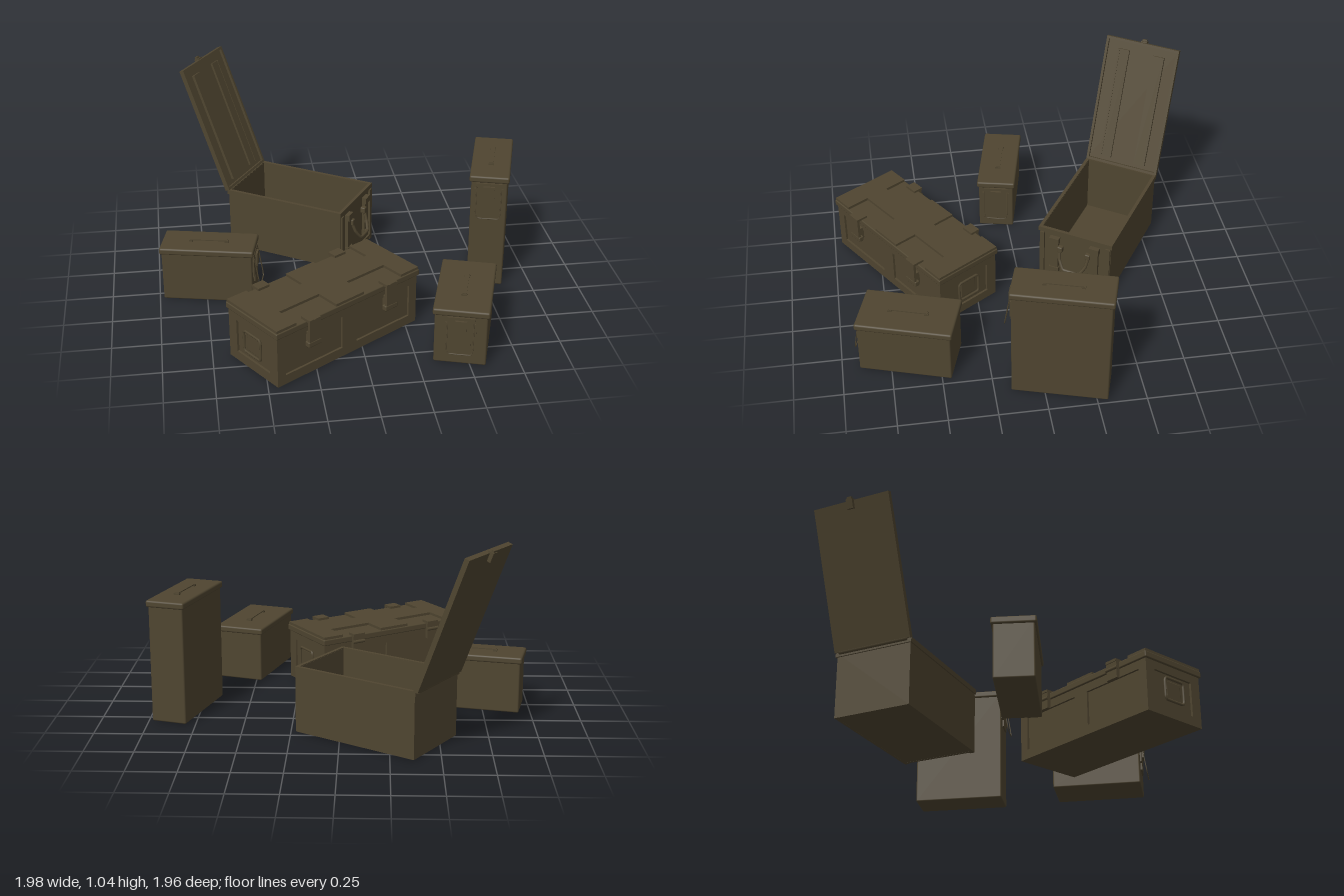
import * as THREE from 'three';
import { RoundedBoxGeometry } from 'three/addons/geometries/RoundedBoxGeometry.js';

const olive = new THREE.MeshStandardMaterial({ color: 0x4f4530, side: THREE.DoubleSide });
olive.name = 'olive paint';

function add(parent, name, geo, x = 0, y = 0, z = 0) {
  const m = new THREE.Mesh(geo, olive);
  m.name = name;
  m.position.set(x, y, z);
  parent.add(m);
  return m;
}
const box = (p, name, w, h, d, x, y, z) => add(p, name, new THREE.BoxGeometry(w, h, d), x, y, z);
const rbox = (p, name, w, h, d, x, y, z, r = 0.01) =>
  add(p, name, new RoundedBoxGeometry(w, h, d, 2, r), x, y, z);
const v2 = ([x, y]) => new THREE.Vector2(x, y);
const rect = (x, y, w, h) => [[x - w / 2, y - h / 2], [x + w / 2, y - h / 2], [x + w / 2, y + h / 2], [x - w / 2, y + h / 2]].map(v2);
const extrude = (pts, holes, depth) => {
  const s = new THREE.Shape(pts);
  holes.forEach(h => s.holes.push(new THREE.Path(h)));
  return new THREE.ExtrudeGeometry(s, { depth, bevelEnabled: false });
};
// Bent rod through corner points
function rod(parent, name, pts, r, closed = false) {
  const v = pts.map(p => new THREE.Vector3(...p));
  const path = new THREE.CatmullRomCurve3(v, closed, 'catmullrom', 0.15);
  return add(parent, name, new THREE.TubeGeometry(path, 40, r, 6, closed));
}
function place(root, name, x, z, angle) {
  const g = new THREE.Group();
  g.name = name;
  g.position.set(x, 0, z);
  g.rotation.y = angle;
  root.add(g);
  return g;
}

// Closed can: latch on its +x end, strap handle on the lid
function can(root, name, L, W, H, x, z, angle) {
  const g = place(root, name, x, z, angle);
  rbox(g, 'canBody', L - 0.02, H - 0.02, W - 0.02, 0, H / 2, 0, 0.008).position.y = (H - 0.02) / 2 + 0.005;
  rbox(g, 'canLid', L, 0.036, W, 0, H - 0.018, 0, 0.01);
  // lid strap
  box(g, 'lidStrap', 0.2, 0.005, 0.024, 0, H + 0.01, 0);
  for (const s of [-1, 1]) box(g, 'strapFoot', 0.02, 0.012, 0.03, s * 0.095, H + 0.003, 0);
  // stepped latch plate
  const half = [[0.068, 0], [0.068, -0.03], [0.076, -0.03], [0.076, -0.125], [0.05, -0.125], [0.05, -0.165]];
  const pts = [...half, ...half.map(([a, b]) => [-a, b]).reverse()].map(v2);
  const plate = add(g, 'latchPlate', extrude(pts, [], 0.01), L / 2 - 0.011, H - 0.04, 0);
  plate.rotation.y = Math.PI / 2;
  box(g, 'latchTongue', 0.012, 0.07, 0.06, L / 2 + 0.004, H - 0.09, 0);
  // wire bail
  const e = L / 2;
  rod(g, 'latchWire', [[e, H - 0.06, -0.065], [e + 0.022, H - 0.2, -0.065], [e + 0.026, H - 0.23, -0.055],
    [e + 0.026, H - 0.23, 0.055], [e + 0.022, H - 0.2, 0.065], [e, H - 0.06, 0.065]], 0.003);
}

// Long chest with recessed panels and strap latches
function chest(root) {
  const g = place(root, 'longChest', -0.176, 0.553, 0.579);
  const L = 0.91, W = 0.38, T = 0.012, H = 0.28;
  box(g, 'chestCore', L - 2 * T, H, W - 2 * T, 0, 0.01 + H / 2, 0);
  const sideHoles = [-0.225, 0.225].map(x => rect(x, 0, 0.36, 0.18));
  for (const s of [-1, 1]) {
    const side = add(g, 'sidePanel', extrude(rect(0, 0, L, H), sideHoles, T), 0, 0.15, s * (W / 2 - T));
    const end = add(g, 'endPanel', extrude(rect(0, 0, W - 2 * T, H), [rect(0, 0, 0.26, 0.18)], T), s * (L / 2 - T), 0.15, 0);
    side.rotation.y = s > 0 ? 0 : Math.PI;
    end.rotation.y = s * Math.PI / 2;
    // end handle
    const hx = s * (L / 2 + 0.004);
    rbox(g, 'handlePlate', 0.016, 0.1, 0.1, s * (L / 2 - 0.009), 0.155, 0, 0.006);
    rod(g, 'endHandle', [[-0.055, 0.1], [0.055, 0.1], [0.065, 0.115], [0.065, 0.2], [0.055, 0.215],
      [-0.055, 0.215], [-0.065, 0.2], [-0.065, 0.115]].map(([z, y]) => [hx, y, z]), 0.007, true);
  }
  // lid slab and raised top with four notches
  rbox(g, 'chestLid', 0.93, 0.034, 0.4, 0, 0.301, 0, 0.006);
  const a = 0.09, b = 0.34, e = 0.46, w = 0.195, n = 0.065;
  const quarter = [[a, w], [a, n], [b, n], [b, w], [e, w]];
  const flip = (sx, sy) => quarter.map(([x, y]) => [sx * x, sy * y]);
  const outline = [...flip(1, 1), ...flip(1, -1).reverse(), ...flip(-1, -1), ...flip(-1, 1).reverse()].map(v2);
  add(g, 'lidRaisedTop', extrude(outline, [], 0.016), 0, 0.316, 0).rotation.x = -Math.PI / 2;
  for (const x of [-0.25, 0.25]) {
    // front latches
    box(g, 'latchTop', 0.07, 0.014, 0.065, x, 0.324, 0.195);
    box(g, 'latchStrap', 0.07, 0.12, 0.014, x, 0.27, 0.221);
    box(g, 'latchMount', 0.05, 0.07, 0.03, x, 0.22, 0.2);
    rbox(g, 'latchBuckle', 0.082, 0.03, 0.03, x, 0.195, 0.213, 0.006);
    // rear hinges
    box(g, 'hingeTop', 0.07, 0.014, 0.055, x, 0.324, -0.195);
    box(g, 'hingeLeaf', 0.07, 0.1, 0.02, x, 0.28, -0.208);
    const pin = add(g, 'hingePin', new THREE.CylinderGeometry(0.01, 0.01, 0.075, 10), x, 0.285, -0.215);
    pin.rotation.z = Math.PI / 2;
  }
}

// Open box: hollow body, lid hinged at its -x end
function openBox(root) {
  const g = place(root, 'openBox', -0.185, -0.4755, -0.57);
  const L = 0.69, W = 0.41, H = 0.355;
  const ring = (l, w, t, h) => extrude(rect(0, 0, l, w), [rect(0, 0, l - 2 * t, w - 2 * t)], h);
  add(g, 'walls', ring(L, W, 0.012, H - 0.01), 0, 0.01, 0).rotation.x = -Math.PI / 2;
  add(g, 'rim', ring(L + 0.014, W + 0.014, 0.018, 0.026), 0, H - 0.022, 0).rotation.x = -Math.PI / 2;
  box(g, 'floor', L - 0.01, 0.015, W - 0.01, 0, 0.018, 0);
  const e = L / 2;
  for (const s of [-1, 1]) {
    // front end fittings
    box(g, 'cornerStrip', 0.016, 0.32, 0.025, e + 0.004, 0.17, s * 0.19);
    box(g, 'latchPost', 0.018, 0.23, 0.045, e + 0.008, 0.2, s * 0.115);
    box(g, 'postCap', 0.03, 0.035, 0.055, e + 0.012, 0.3, s * 0.115);
    box(g, 'postFoot', 0.026, 0.03, 0.055, e + 0.01, 0.1, s * 0.115);
    rbox(g, 'handleLug', 0.03, 0.035, 0.03, e + 0.014, 0.25, s * 0.08, 0.006);
  }
  box(g, 'bottomStrip', 0.012, 0.025, 0.36, e + 0.003, 0.025, 0);
  rod(g, 'carryHandle', [[e + 0.015, 0.25, -0.085], [e + 0.035, 0.19, -0.075], [e + 0.055, 0.145, -0.045],
    [e + 0.055, 0.145, 0.045], [e + 0.035, 0.19, 0.075], [e + 0.015, 0.25, 0.085]], 0.009);
  // hinge
  const pin = add(g, 'lidHinge', new THREE.CylinderGeometry(0.012, 0.012, 0.38, 10), -e - 0.008, H, 0);
  pin.rotation.x = Math.PI / 2;
  // lid, its inner face towards +x
  const lid = new THREE.Group();
  lid.name = 'openLid';
  lid.position.set(-e - 0.005, H, 0);
  lid.rotation.z = 0.365;
  g.add(lid);
  const len = 0.725;
  box(lid, 'lidPanel', 0.012, len, W + 0.014, -0.008, len / 2, 0);
  const rim = add(lid, 'lidRim', ring(W + 0.014, len, 0.014, 0.018), -0.006, len / 2, 0);
  rim.rotation.y = Math.PI / 2;
  for (const s of [-1, 1]) {
    box(lid, 'lidRib', 0.016, 0.63, 0.06, 0.002, len / 2 - 0.01, s * 0.1);
    box(lid, 'ribEdge', 0.022, 0.63, 0.01, 0.002, len / 2 - 0.01, s * 0.13);
  }
  // hasp on the free edge
  box(lid, 'hasp', 0.03, 0.05, 0.035, -0.018, len - 0.018, 0);
  box(lid, 'haspTab', 0.014, 0.03, 0.025, -0.022, len + 0.002, 0);
}

export function createModel() {
  const root = new THREE.Group();
  root.name = 'storageBoxes';
  openBox(root);
  chest(root);
  can(root, 'smallCan', 0.5, 0.215, 0.312, -0.724, 0.01, -0.22);
  can(root, 'wideCan', 0.5, 0.28, 0.312, 0.524, 0.643, -1.876);
  can(root, 'tallCan', 0.51, 0.21, 0.655, 0.822, -0.096, -1.86);
  return root;
}
